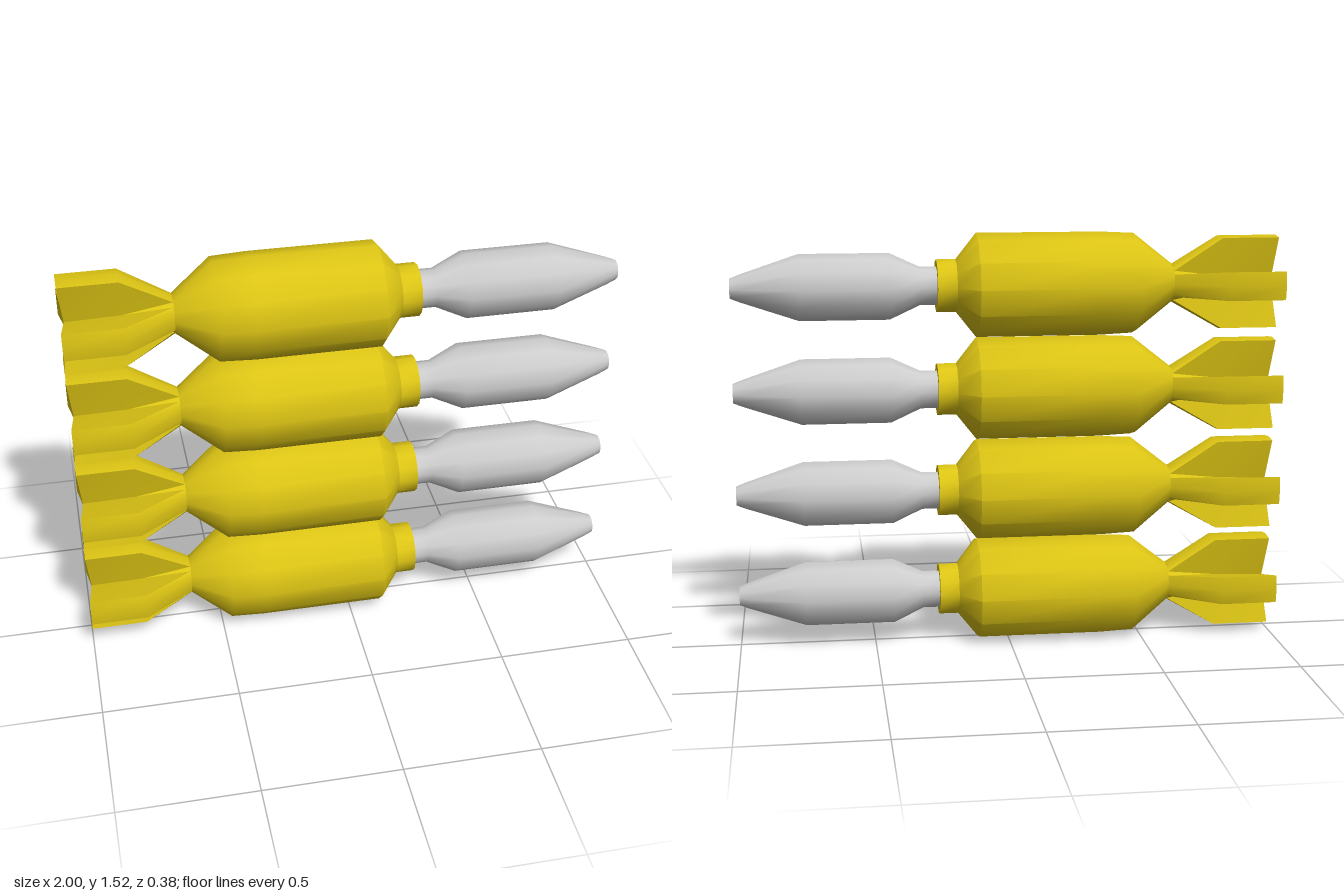
import * as THREE from 'three';
import { toCreasedNormals } from 'three/addons/utils/BufferGeometryUtils.js';

const SIDES = 12;

// Turned part along x, from [x, radius] pairs running from tail to nose
function turned(profile) {
  const points = profile.map(([x, r]) => new THREE.Vector2(r, x));
  const geometry = new THREE.LatheGeometry(points, SIDES);
  geometry.rotateZ(-Math.PI / 2);
  return toCreasedNormals(geometry, 0.95);
}

// Four wedge fins lofted from the round neck; section: x, tip radius, half width, shoulder radius, valley radius
function finGeometry() {
  const sections = [
    { x: -1.0, tip: 0.172, half: 0.052, shoulder: 0.166, valley: 0.02, inset: 0.015 },
    { x: -0.79, tip: 0.172, half: 0.052, shoulder: 0.166, valley: 0.035, inset: 0 },
    { x: -0.61, tip: 0.07, half: 0.035, shoulder: 0.061, valley: 0.068, inset: 0 },
  ];
  const positions = [];
  const index = [];
  const n = 16;
  for (const s of sections) {
    const v = s.valley * Math.SQRT1_2;
    const quarter = [[s.shoulder, -s.half, 0], [s.tip, 0, 0], [s.shoulder, s.half, 0], [v, v, s.inset]];
    for (let q = 0; q < 4; q++) {
      const c = Math.round(Math.cos(q * Math.PI / 2));
      const d = Math.round(Math.sin(q * Math.PI / 2));
      for (const [a, b, dx] of quarter) positions.push(s.x + dx, a * c - b * d, a * d + b * c);
    }
  }
  for (let k = 0; k < sections.length - 1; k++) {
    for (let i = 0; i < n; i++) {
      const a = k * n + i;
      const b = k * n + (i + 1) % n;
      index.push(a, b, a + n, b, b + n, a + n);
    }
  }
  // Hollowed rear face
  const centre = positions.length / 3;
  positions.push(-0.98, 0, 0);
  for (let i = 0; i < n; i++) index.push(centre, (i + 1) % n, i);
  const geometry = new THREE.BufferGeometry();
  geometry.setAttribute('position', new THREE.Float32BufferAttribute(positions, 3));
  geometry.setIndex(index);
  return toCreasedNormals(geometry, 0.8);
}

export function createModel() {
  const model = new THREE.Group();
  model.name = 'rocketStack';
  const yellow = new THREE.MeshStandardMaterial({ color: 0xdcc414, side: THREE.DoubleSide });
  const grey = new THREE.MeshStandardMaterial({ color: 0xcccccc });

  const parts = [
    ['tailFins', finGeometry(), yellow],
    ['body', turned([[-0.61, 0.07], [-0.465, 0.184], [-0.34, 0.19], [0.115, 0.19], [0.19, 0.095]]), yellow],
    ['collar', turned([[0.185, 0.096], [0.26, 0.096], [0.26, 0.065]]), yellow],
    ['warhead', turned([[0.25, 0.07], [0.32, 0.07], [0.43, 0.121], [0.755, 0.121],
      [0.965, 0.05], [1.0, 0.036], [1.0, 0]]), grey],
  ];

  // Four identical rockets stacked vertically
  for (let i = 0; i < 4; i++) {
    const rocket = new THREE.Group();
    rocket.name = `rocket${i + 1}`;
    for (const [name, geometry, material] of parts) {
      const mesh = new THREE.Mesh(geometry, material);
      mesh.name = name;
      rocket.add(mesh);
    }
    rocket.position.y = 0.19 + i * 0.381;
    model.add(rocket);
  }
  return model;
}
